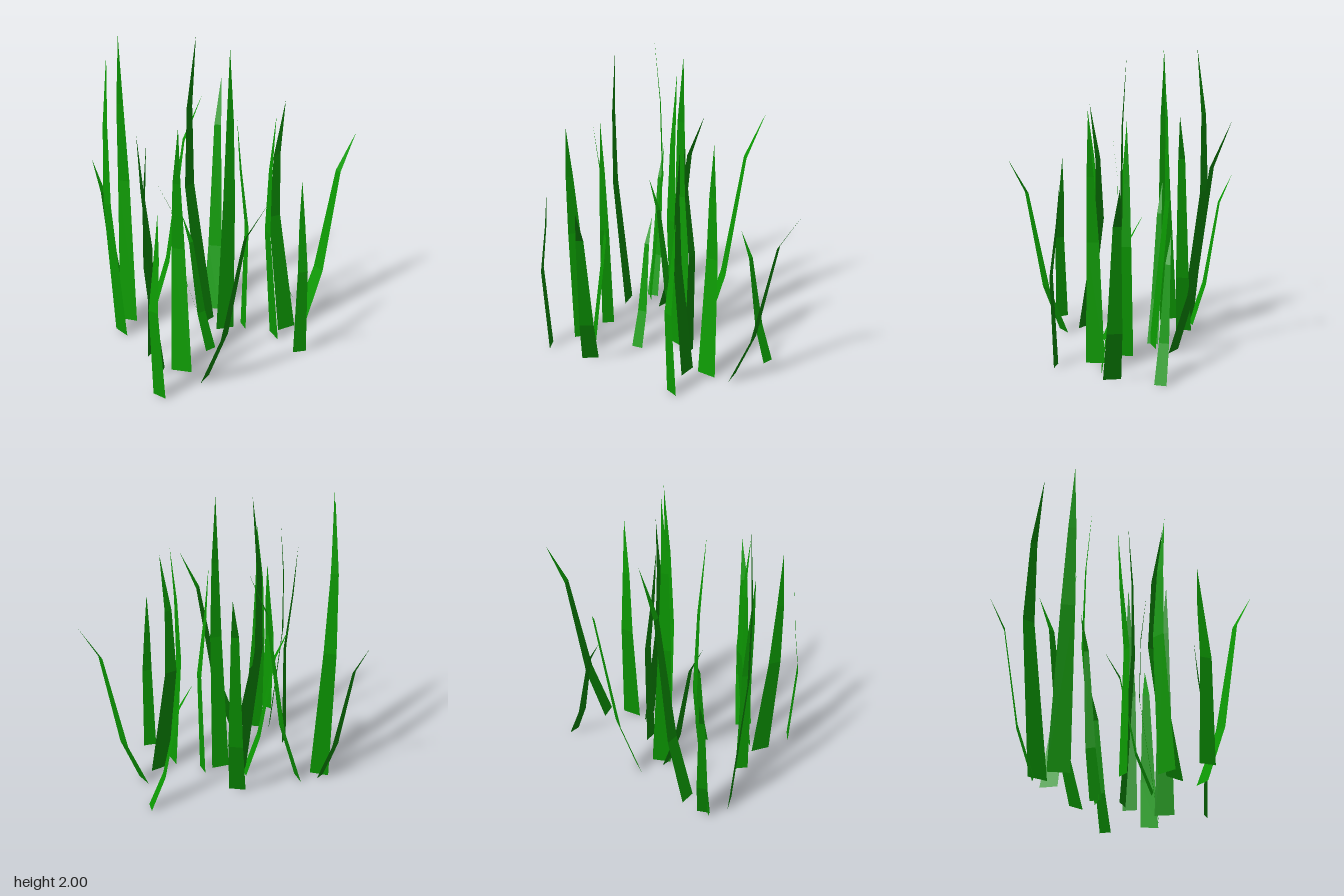
import * as THREE from 'three';

const material = new THREE.MeshStandardMaterial({
  color: 0x0c9a02, flatShading: true, side: THREE.DoubleSide,
});

// Blade shapes, one row per level: [height fraction, forward, sideways, width],
// the last three in units of the blade's base width. The last row is the tip.
const SHAPES = {
  leaning: [[0, 0, 0, 1], [0.27, 1.25, 0, 0.84], [0.81, 2.5, 0, 0.43], [1, 3.75, 0, 0]],
  bowed: [[0, 0, 0, 1], [0.5, 0.88, -0.28, 0.65], [0.77, 0.8, -0.24, 0.38], [1, 0.48, 0, 0]],
  upright: [[0, 0, 0, 1], [0.5, 0.53, -0.14, 0.65], [0.77, 0.45, -0.24, 0.38], [1, 0.2, -0.32, 0]],
  curled: [[0, 0, 0, 1], [0.5, -0.27, 0, 0.74], [0.77, 0.2, 0, 0.42], [1, 0.47, 0, 0]],
};

// Leaning blades: base centre x, z, tip x, z, height
const LEANING = [
  [-0.62, -0.49, -0.70, -0.785, 1.1],
  [-0.475, -0.425, -0.085, -0.345, 1.58],
  [-0.055, -0.315, 0.215, -0.635, 1.58],
  [-0.20, -0.185, -0.475, -0.265, 1.08],
  [0.425, 0.107, 0.85, 0.07, 1.28],
  [-0.50, 0.43, -0.27, 0.78, 1.28],
  [0.535, -0.185, 0.257, -0.267, 0.88],
  [-0.31, 0.15, -0.36, -0.13, 0.88],
];

// Standing blades: the two base corners x, z, x, z, then the height
const STANDING = {
  bowed: [
    [-0.67, -0.512, -0.585, -0.418, 1.99],
    [-0.22, -0.165, -0.10, -0.20, 2.0],
    [-0.637, 0.235, -0.54, 0.325, 1.61],
    [0.2, 0.17, 0.33, 0.17, 1.61],
  ],
  upright: [
    [-0.72, -0.275, -0.747, -0.40, 1.95],
    [-0.043, -0.02, -0.16, -0.048, 1.96],
    [-0.752, 0.285, -0.665, 0.19, 1.56],
    [0.135, 0.27, 0.146, 0.148, 1.58],
  ],
  curled: [
    [0.015, 0.047, 0.027, -0.042, 1.5],
    [-0.705, 0.027, -0.637, -0.022, 1.51],
    [-0.845, 0.41, -0.805, 0.495, 1.2],
    [0.14, 0.45, 0.224, 0.475, 1.2],
  ],
};

// Flat tapering strip swept through the levels of a shape
function bladeGeometry(shape, ax, az, bx, bz, height) {
  const ux = bx - ax, uz = bz - az; // width vector; forward is (uz, -ux)
  const cx = (ax + bx) / 2, cz = (az + bz) / 2;
  const points = [], index = [];
  shape.forEach(([level, forward, side, width], i) => {
    for (const edge of [-width / 2, width / 2]) {
      const s = side + edge;
      points.push(cx + ux * s + uz * forward, level * height, cz + uz * s - ux * forward);
    }
    if (i === 0) return;
    const k = 2 * i;
    index.push(k - 2, k - 1, k);
    if (width > 0) index.push(k - 1, k + 1, k);
  });
  const geometry = new THREE.BufferGeometry();
  geometry.setAttribute('position', new THREE.Float32BufferAttribute(points, 3));
  geometry.setIndex(index);
  const flat = geometry.toNonIndexed();
  flat.computeVertexNormals();
  return flat;
}

export function createModel() {
  const model = new THREE.Group();
  model.name = 'grassTuft';

  const add = (name, ...args) => {
    const mesh = new THREE.Mesh(bladeGeometry(...args), material);
    mesh.name = name;
    model.add(mesh);
  };

  // Leaning blades: base edge stands square to the lean
  for (const [x, z, tx, tz, height] of LEANING) {
    const dx = (tx - x) / 7.5, dz = (tz - z) / 7.5;
    add('leaningBlade', SHAPES.leaning, x + dz, z - dx, x - dz, z + dx, height);
  }

  // Standing blades, by shape
  for (const [kind, blades] of Object.entries(STANDING)) {
    for (const blade of blades) add(kind + 'Blade', SHAPES[kind], ...blade);
  }
  return model;
}
